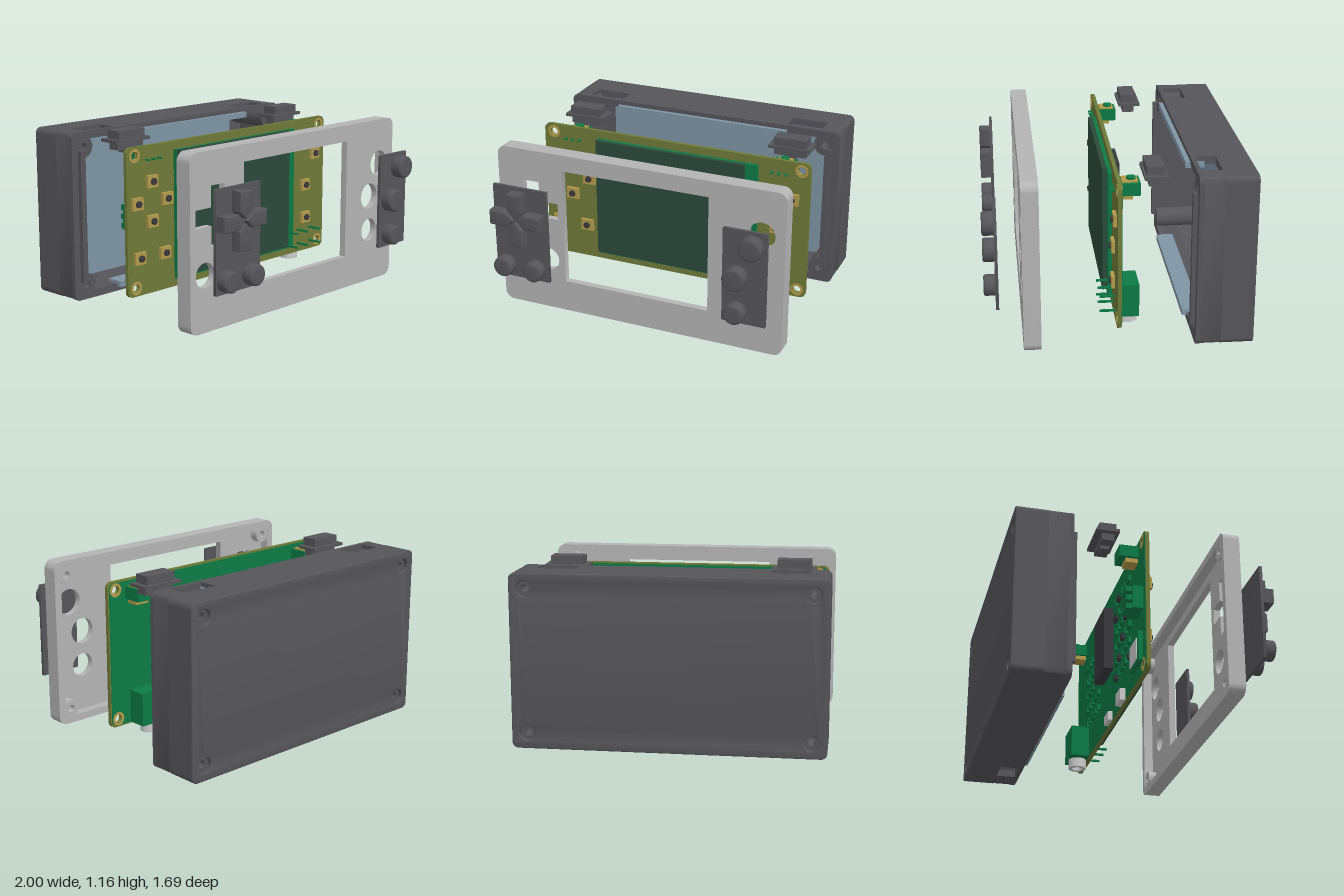
import * as THREE from 'three';
import { toCreasedNormals } from 'three/addons/utils/BufferGeometryUtils.js';

const mat = (color, side = THREE.FrontSide) => new THREE.MeshStandardMaterial({ color, side });
const M = {
  panel: mat(0xb4b4b4), dark: mat(0x56555a), liner: mat(0x7f95a5), board: mat(0x6f7a38),
  green: mat(0x0c7a45), screen: mat(0x2b4a3a), gold: mat(0xb39a4a), chip: mat(0x3a3a3e), metal: mat(0xcccccc),
};

export function createModel() {
  const root = new THREE.Group();
  const group = (name) => { const g = new THREE.Group(); g.name = name; root.add(g); return g; };
  const add = (g, name, geo, m) => { const o = new THREE.Mesh(geo, m); o.name = name; g.add(o); return o; };
  // Box given by its limits
  const box = (g, name, m, x0, x1, y0, y1, z0, z1) => {
    const o = add(g, name, new THREE.BoxGeometry(x1 - x0, y1 - y0, z1 - z0), m);
    o.position.set((x0 + x1) / 2, (y0 + y1) / 2, (z0 + z1) / 2);
    return o;
  };
  const roundRect = (x0, x1, y0, y1, r) => new THREE.Shape()
    .moveTo(x0 + r, y0).lineTo(x1 - r, y0).absarc(x1 - r, y0 + r, r, -Math.PI / 2, 0)
    .lineTo(x1, y1 - r).absarc(x1 - r, y1 - r, r, 0, Math.PI / 2)
    .lineTo(x0 + r, y1).absarc(x0 + r, y1 - r, r, Math.PI / 2, Math.PI)
    .lineTo(x0, y0 + r).absarc(x0 + r, y0 + r, r, Math.PI, Math.PI * 1.5);
  const circle = (x, y, r) => new THREE.Shape().absarc(x, y, r, 0, Math.PI * 2);
  const poly = (pts) => new THREE.Shape(pts.map(([x, y]) => new THREE.Vector2(x, y)));
  // Plate extruded from z0 to z1, optionally with a rounded edge kept inside that depth
  const plate = (g, name, m, shape, holes, z0, z1, bevel = 0) => {
    shape.holes = holes;
    const geo = new THREE.ExtrudeGeometry(shape, {
      depth: z1 - z0 - 2 * bevel, curveSegments: 16, bevelEnabled: bevel > 0,
      bevelSize: bevel, bevelOffset: -bevel, bevelThickness: bevel, bevelSegments: 3,
    });
    geo.translate(0, 0, z0 + bevel);
    return add(g, name, toCreasedNormals(geo, 0.6), m);
  };
  const corners = [[-0.9, 0.1], [0.9, 0.1], [-0.9, 1.03], [0.9, 1.03]];
  const leftCaps = [[-0.875, 0.365, 0.068], [-0.655, 0.365, 0.068]];
  const rightCaps = [[0.845, 0.825, 0.076], [0.745, 0.605, 0.076], [0.75, 0.365, 0.068]];
  const pad = [-0.762, 0.722];

  // Front panel: thin face with openings, deep rim, screw bosses
  const front = group('frontPanel');
  const cross = poly([[1, 0.3], [0.3, 0.3], [0.3, 1], [-0.3, 1], [-0.3, 0.3], [-1, 0.3],
    [-1, -0.3], [-0.3, -0.3], [-0.3, -1], [0.3, -1], [0.3, -0.3], [1, -0.3]]
    .map(([x, y]) => [pad[0] + x * 0.192, pad[1] + y * 0.192]));
  plate(front, 'panelFace', M.panel, roundRect(-1, 1, 0, 1.13, 0.06),
    [roundRect(-0.53, 0.49, 0.22, 1.02, 0.002), cross,
      ...[...leftCaps, ...rightCaps].map(([x, y, r]) => circle(x, y, r + 0.012))], 0.565, 0.61);
  plate(front, 'panelRim', M.panel, roundRect(-1, 1, 0, 1.13, 0.06),
    [roundRect(-0.95, 0.95, 0.05, 1.08, 0.03)], 0.5, 0.565);
  for (const [x, y] of corners)
    plate(front, 'panelBoss', M.panel, circle(x, y, 0.06), [circle(x, y, 0.025)], 0.505, 0.565);

  // Button membranes with their caps
  const buttons = group('buttons');
  plate(buttons, 'leftMembrane', M.dark, roundRect(-0.95, -0.56, 0.28, 0.93, 0.004), [], 0.755, 0.775);
  plate(buttons, 'rightMembrane', M.dark, roundRect(0.65, 0.94, 0.28, 0.92, 0.004), [], 0.755, 0.775);
  for (const [x, y, r] of [...leftCaps, ...rightCaps])
    plate(buttons, 'roundButton', M.dark, circle(x, y, r), [], 0.755, 0.848, 0.014);
  for (let i = 0; i < 4; i++) {
    const arm = plate(buttons, 'directionButton', M.dark,
      poly([[0.012, 0], [0.062, -0.05], [0.184, -0.05], [0.184, 0.05], [0.062, 0.05]]), [], 0.755, 0.848, 0.008);
    arm.position.set(pad[0], pad[1], 0);
    arm.rotation.z = i * Math.PI / 2;
  }

  // Circuit board, screen and tactile switches
  const pcb = group('circuitBoard');
  const holes = () => corners.map(([x, y]) => circle(x, y + (y < 0.5 ? 0.07 : 0), 0.028));
  plate(pcb, 'board', M.board, roundRect(-0.97, 0.96, 0.115, 1.085, 0.04), holes(), -0.005, 0.02);
  plate(pcb, 'boardBack', M.green, roundRect(-0.96, 0.95, 0.125, 1.075, 0.04), holes(), -0.009, -0.004);
  for (const [x, y] of corners) {
    const yy = y + (y < 0.5 ? 0.07 : 0);
    plate(pcb, 'mountRing', M.gold, circle(x, yy, 0.045), [circle(x, yy, 0.028)], -0.011, 0.022);
  }
  box(pcb, 'screenCarrier', M.green, -0.56, 0.605, 0.17, 1.03, 0.02, 0.045);
  box(pcb, 'screen', M.screen, -0.555, 0.52, 0.19, 1.03, 0.045, 0.075);
  const arms = [0, 1, 2, 3].map((i) => {
    const a = i * Math.PI / 2;
    return [pad[0] + Math.cos(a) * 0.13, pad[1] + Math.sin(a) * 0.13];
  });
  for (const [x, y] of [...arms, ...leftCaps, ...rightCaps]) {
    box(pcb, 'tactileSwitch', M.gold, x - 0.045, x + 0.045, y - 0.04, y + 0.04, 0.02, 0.042);
    plate(pcb, 'switchPlunger', M.chip, circle(x, y, 0.022), [], 0.042, 0.055);
  }

  // Parts on the back of the board
  box(pcb, 'mainChip', M.chip, -0.15, 0.14, 0.48, 0.93, -0.075, -0.009);
  box(pcb, 'cardSlot', M.green, -0.9, -0.68, 0.2, 0.4, -0.04, -0.009);
  box(pcb, 'cardSlotCover', M.metal, -0.87, -0.71, 0.22, 0.36, -0.045, -0.04);
  box(pcb, 'batterySocket', M.green, -0.92, -0.76, 0.545, 0.70, -0.075, -0.009);
  for (const y of [0.545, 0.605, 0.665])
    box(pcb, 'socketRib', M.green, -0.9, -0.78, y, y + 0.035, -0.115, -0.075);
  box(pcb, 'powerSocket', M.metal, -0.46, -0.34, 0.12, 0.2, -0.045, -0.009);
  box(pcb, 'slideSwitch', M.metal, -0.12, 0, 0.12, 0.18, -0.04, -0.009);
  // Audio jack with barrel and pins
  box(pcb, 'audioJack', M.green, 0.58, 0.8, 0.125, 0.345, -0.135, -0.009);
  const barrel = plate(pcb, 'jackBarrel', M.metal, circle(0, 0, 0.062), [circle(0, 0, 0.035)], 0, 0.07);
  barrel.rotation.x = Math.PI / 2;
  barrel.position.set(0.69, 0.13, -0.07);
  for (const x of [0.57, 0.68, 0.81])
    for (const y of [0.18, 0.28]) box(pcb, 'jackPin', M.green, x - 0.008, x + 0.008, y - 0.006, y + 0.006, 0.02, 0.12);
  // Shoulder switches under the loose shoulder buttons
  for (const s of [-1, 1]) {
    const x = s * 0.75;
    box(pcb, 'shoulderSwitch', M.green, x - 0.07, x + 0.07, 0.96, 1.04, -0.135, -0.009);
    box(pcb, 'shoulderBracket', M.gold, x - 0.05, x + 0.05, 0.93, 0.96, -0.09, -0.009);
    box(pcb, 'shoulderBracketTop', M.gold, x - 0.05, x + 0.05, 1.04, 1.05, -0.12, -0.02);
    const p = plate(pcb, 'shoulderPlunger', M.green, circle(0, 0, 0.03), [], 0, 0.02);
    p.rotation.x = -Math.PI / 2;
    p.position.set(x, 1.045, -0.08);
    for (const dx of [-0.05, 0, 0.05]) box(pcb, 'switchPin', M.green, x + dx - 0.007, x + dx + 0.007, 0.99, 1.0, 0.02, 0.055);
  }
  // Rows of small components
  for (let c = 0; c < 5; c++) for (let r = 0; r < 6; r++) {
    const x = -0.6 + c * 0.085, y = 0.36 + r * 0.11, w = 0.016 + 0.01 * ((c + r) % 3);
    box(pcb, 'smallPart', (c + r) % 4 ? M.green : M.chip, x - w, x + w, y - 0.02, y + 0.02, -0.03, -0.009);
    if (r < 5) box(pcb, 'smallPart', M.green, x + 0.85 - w, x + 0.85 + w, y - 0.02, y + 0.02, -0.03, -0.009);
  }

  // Loose shoulder buttons
  for (const s of [-1, 1]) {
    const g = group(s > 0 ? 'leftShoulderButton' : 'rightShoulderButton'), x = s * 0.75;
    box(g, 'shoulderCap', M.dark, x - 0.11, x + 0.11, 1.1, 1.16, -0.275, -0.165);
    box(g, 'shoulderFlange', M.dark, x - 0.145, x + 0.145, 1.085, 1.105, -0.3, -0.15);
    box(g, 'shoulderBase', M.dark, x - 0.11, x + 0.11, 1.035, 1.085, -0.26, -0.18);
    box(g, 'shoulderStem', M.dark, x - 0.04, x + 0.04, 1.01, 1.035, -0.255, -0.195);
  }

  // Back shell: floor, then wall layers with gaps for shoulder buttons and jack
  const back = group('backShell');
  const outer = () => roundRect(-1, 1, 0, 1.13, 0.04);
  const inner = () => roundRect(-0.95, 0.95, 0.05, 1.08, 0.02);
  plate(back, 'shellFloor', M.dark, outer(), corners.map(([x, y]) => circle(x, y, 0.05)), -0.84, -0.8, 0.006);
  plate(back, 'lowerWall', M.dark, outer(), [inner()], -0.81, -0.63);
  plate(back, 'upperWall', M.dark, outer(), [inner()], -0.5, -0.47);
  for (const [s, end] of [[-1, -0.62], [1, 0.8]])
    plate(back, 'sideWall', M.dark, poly([[0.87, 1.13], [0.96, 1.13], [0.988, 1.118], [1, 1.09], [1, 0.04], [0.988, 0.012],
      [0.96, 0], [s * end, 0], [s * end, 0.05], [0.95, 0.05], [0.95, 1.08], [0.87, 1.08]].map(([x, y]) => [s * x, y])),
      [], -0.63, -0.5);
  box(back, 'topWall', M.dark, -0.62, 0.62, 1.08, 1.13, -0.63, -0.5);
  box(back, 'bottomWall', M.dark, -0.62, 0.62, 0, 0.05, -0.63, -0.5);
  box(back, 'floorLiner', M.liner, -0.82, 0.82, 0.05, 1.08, -0.8, -0.79);
  // Locating lips
  box(back, 'topLip', M.liner, -0.63, 0.63, 1.06, 1.1, -0.56, -0.44);
  box(back, 'bottomLip', M.liner, -0.63, 0.63, 0.03, 0.07, -0.56, -0.44);
  for (const s of [-1, 1]) {
    const x = s * 0.93;
    box(back, 'sideLip', M.dark, x - 0.02, x + 0.02, 0.12, 1.01, -0.6, -0.44);
  }
  // Screw posts with countersunk heads
  for (const [x, y] of corners) {
    plate(back, 'screwPost', M.dark, circle(x, y, 0.075), [circle(x, y, 0.025)], -0.79, -0.47);
    plate(back, 'screwSeat', M.dark, circle(x, y, 0.07), [circle(x, y, 0.025)], -0.81, -0.79);
  }
  return root;
}
